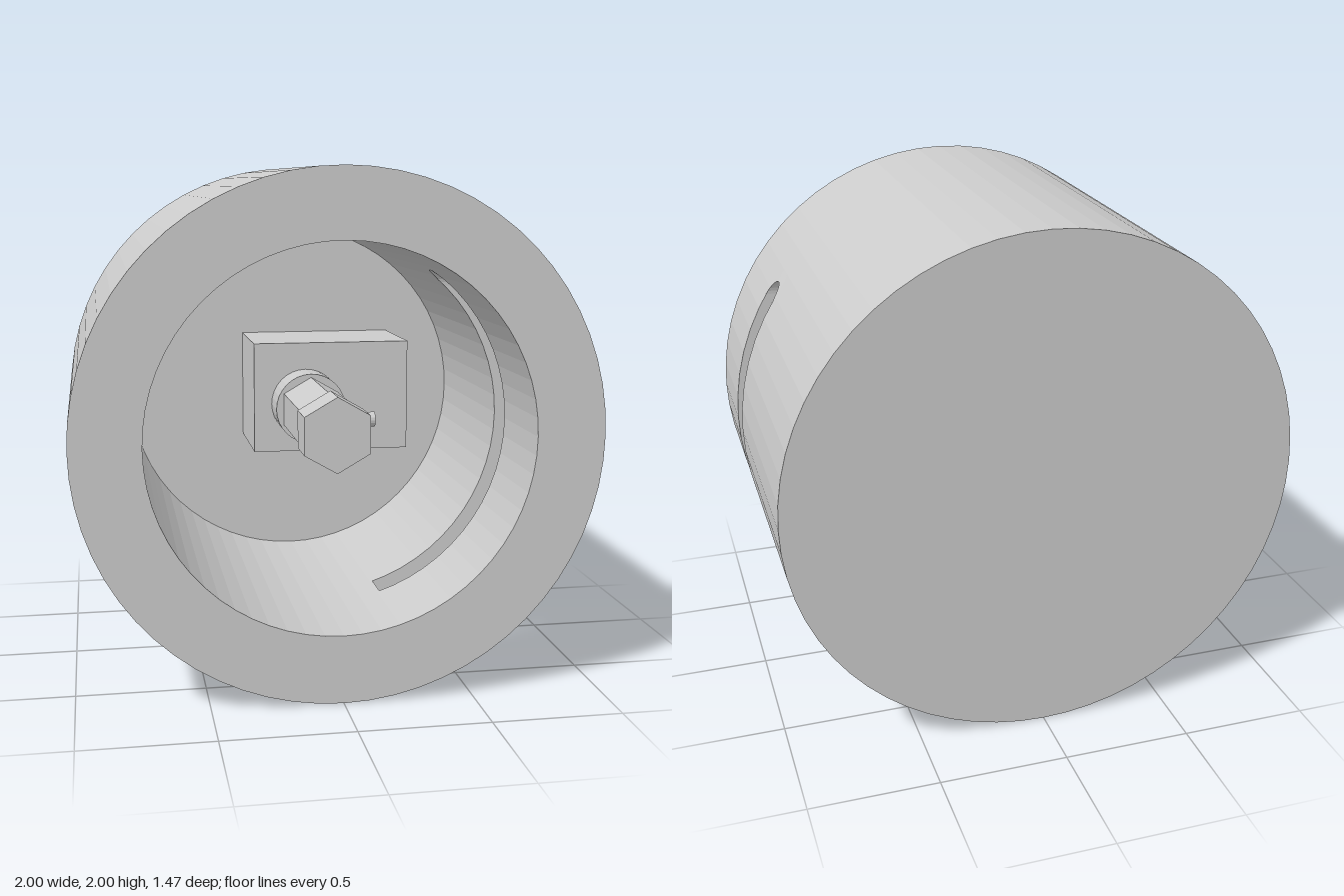
import * as THREE from 'three';

const SIDES = 64;
const OUTER = 1, BORE = 0.735, HALF = 0.735;
const FLOOR_Z = -0.605;
// Slot cut along x: centre and radius in z, end heights, depth plane
const SLOT = { z: 0.255, r: 0.068, top: 0.595, bottom: -0.88, x: 0.224 };

const material = new THREE.MeshStandardMaterial({ color: 0xcccccc, flatShading: true });

function add(group, name, geometry, x = 0, y = 0, z = 0) {
  const mesh = new THREE.Mesh(geometry, material);
  mesh.name = name;
  mesh.position.set(x, y, z);
  group.add(mesh);
  return mesh;
}

// Cylinder or prism along z between two depths
function rod(radius, z0, z1, sides) {
  return new THREE.CylinderGeometry(radius, radius, z1 - z0, sides)
    .rotateX(Math.PI / 2).translate(0, 0, (z0 + z1) / 2);
}

// Points on an arc; facets stay on the same grid of angles, clamped to the ends
function arc(radius, from, to) {
  const points = [];
  for (let k = -SIDES / 2; k <= SIDES * 1.5; k++) {
    const a = THREE.MathUtils.clamp((k * 2 * Math.PI) / SIDES, from, to);
    points.push(new THREE.Vector2(radius * Math.cos(a), radius * Math.sin(a)));
  }
  return points;
}

function ring(z0, z1) {
  const circle = (r) => Array.from({ length: SIDES }, (_, k) => {
    const a = (k * 2 * Math.PI) / SIDES;
    return new THREE.Vector2(r * Math.cos(a), r * Math.sin(a));
  });
  const shape = new THREE.Shape(circle(OUTER));
  shape.holes.push(new THREE.Path(circle(BORE).reverse()));
  return new THREE.ExtrudeGeometry(shape, { depth: z1 - z0, bevelEnabled: false }).translate(0, 0, z0);
}

// C-shaped wall section: outline at one depth inside the slot
function slotOutline(round) {
  const top = SLOT.top - SLOT.r * (1 - round);
  const bottom = SLOT.bottom + SLOT.r * (1 - round);
  return [
    ...arc(OUTER, Math.asin(top), 2 * Math.PI + Math.asin(bottom)),
    new THREE.Vector2(SLOT.x, bottom),
    ...arc(BORE, Math.asin(top / BORE), 2 * Math.PI - Math.acos(SLOT.x / BORE)).reverse(),
  ];
}

// Loft the C-shaped outlines along z so that the slot gets rounded ends
function slottedWall() {
  const rows = 16, positions = [], index = [];
  let count = 0;
  for (let j = 0; j <= rows; j++) {
    const phi = (j / rows) * Math.PI;
    const outline = slotOutline(Math.sin(phi));
    count = outline.length;
    for (const p of outline) positions.push(p.x, p.y, SLOT.z - SLOT.r * Math.cos(phi));
  }
  for (let j = 0; j < rows; j++) {
    for (let i = 0; i < count; i++) {
      const a = j * count + i, b = j * count + ((i + 1) % count);
      index.push(a, b, b + count, a, b + count, a + count);
    }
  }
  const geometry = new THREE.BufferGeometry();
  geometry.setAttribute('position', new THREE.Float32BufferAttribute(positions, 3));
  geometry.setIndex(index);
  geometry.computeVertexNormals();
  return geometry;
}

export function createModel() {
  const model = new THREE.Group();
  model.name = 'slottedHousing';

  // Housing: closed back, open front, slot through one side
  const housing = new THREE.Group();
  housing.name = 'housing';
  housing.position.y = 1;
  add(housing, 'backPlate', rod(OUTER, -HALF, FLOOR_Z, SIDES));
  add(housing, 'rearWall', ring(FLOOR_Z, SLOT.z - SLOT.r));
  add(housing, 'slottedWall', slottedWall());
  add(housing, 'frontWall', ring(SLOT.z + SLOT.r, HALF));
  model.add(housing);

  // Drive: block on the back plate with a round boss and hexagonal shaft
  const drive = new THREE.Group();
  drive.name = 'drive';
  drive.position.y = 1;
  add(drive, 'driveBlock', new THREE.BoxGeometry(0.67, 0.47, 0.435), 0.113, 0.026, -0.3875);
  add(drive, 'shaftBoss', rod(0.147, -0.17, -0.02, 32));
  add(drive, 'hexShaft', rod(0.133, -0.02, 0.43, 6));
  add(drive, 'hexHead', rod(0.147, 0.43, 0.59, 6));
  add(drive, 'sidePin', new THREE.CylinderGeometry(0.03, 0.03, 0.13, 16).rotateZ(Math.PI / 2), 0.145, 0, 0.262);
  model.add(drive);

  return model;
}
